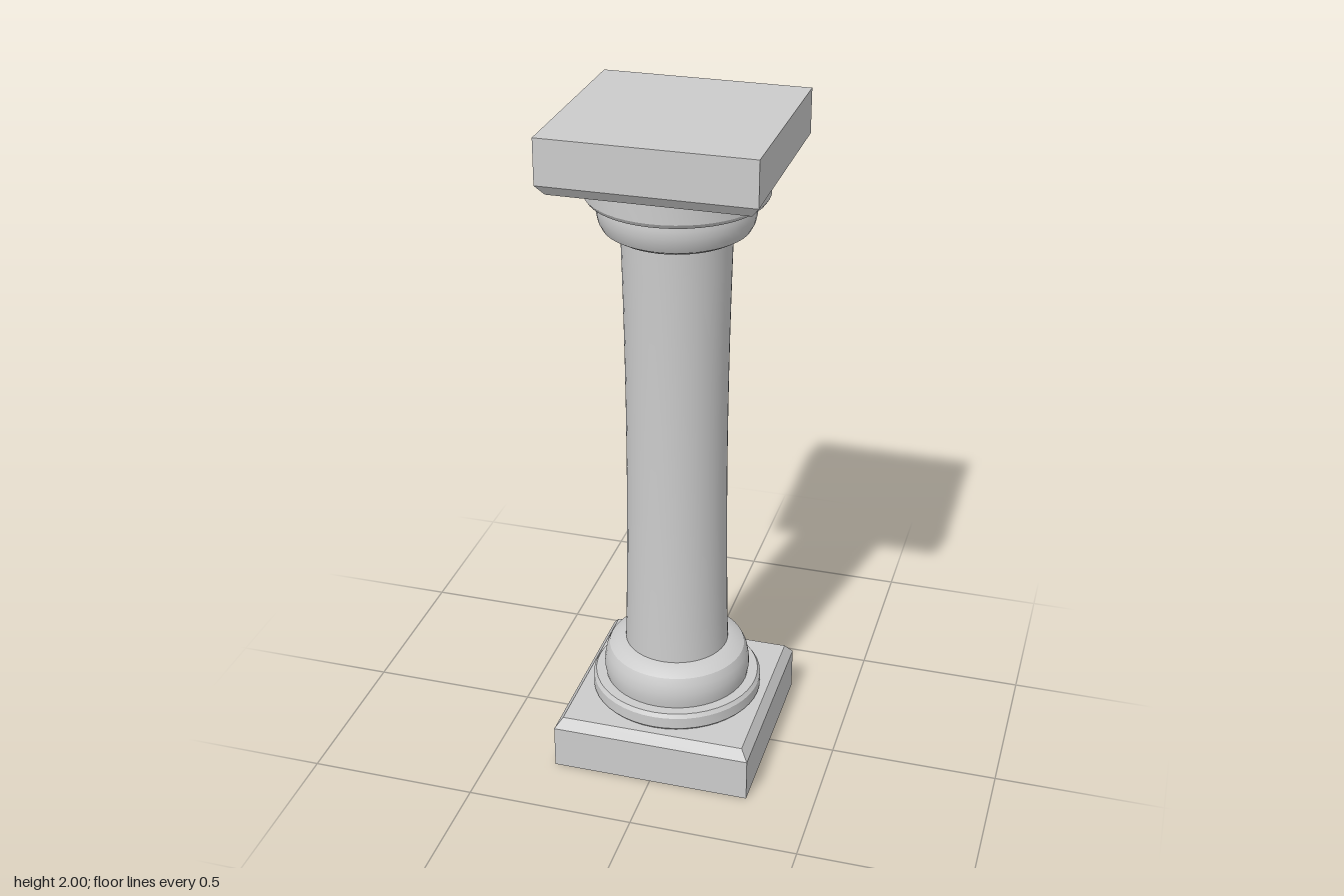
import * as THREE from 'three';
import { toCreasedNormals } from 'three/addons/utils/BufferGeometryUtils.js';

const stone = new THREE.MeshStandardMaterial({ color: 0xcccccc });
const SIDES = 48;

// Profiles are [radius, height] pairs running upwards
const points = (profile) => profile.map(([r, y]) => new THREE.Vector2(r, y));

// Turned part: smooth around, crisp at the moulding edges
function turned(name, profile) {
  const geometry = toCreasedNormals(new THREE.LatheGeometry(points(profile), SIDES), 0.55);
  const mesh = new THREE.Mesh(geometry, stone);
  mesh.name = name;
  return mesh;
}

// Square slab: a four-sided lathe turned by 45 degrees
function slab(name, profile) {
  const corners = profile.map(([half, y]) => [half * Math.SQRT2, y]);
  const lathe = new THREE.LatheGeometry(points(corners), 4, Math.PI / 4);
  const mesh = new THREE.Mesh(toCreasedNormals(lathe, 0.1), stone);
  mesh.name = name;
  return mesh;
}

// Turn a base profile upside down for the capital
const flip = (profile) => profile.map(([r, y]) => [r, 2 - y]).reverse();

// Chamfered square plinth
const plinth = (edge, top) => [[0, 0], [0.3, 0], [0.3, edge], [0.278, top], [0, top]];

// Thin round band with a small bevel
const band = (bottom, top) => [
  [0, bottom], [0.25, bottom], [0.257, bottom + 0.008],
  [0.257, top - 0.012], [0.249, top], [0, top],
];

// Rounded cushion narrowing to the shaft
function cushion(bottom, top) {
  const h = top - bottom;
  return [
    [0, bottom], [0.218, bottom], [0.222, bottom + h * 0.2], [0.221, bottom + h * 0.4],
    [0.216, bottom + h * 0.62], [0.206, bottom + h * 0.8],
    [0.184, bottom + h * 0.92], [0.154, top], [0, top],
  ];
}

export function createModel() {
  const column = new THREE.Group();
  column.name = 'column';

  // Base
  const base = new THREE.Group();
  base.name = 'base';
  base.add(
    slab('basePlinth', plinth(0.133, 0.164)),
    turned('baseBand', band(0.164, 0.219)),
    turned('baseCushion', cushion(0.219, 0.34)),
  );

  // Shaft, slightly waisted at mid height
  const shaftProfile = [];
  for (let i = 0; i <= 12; i++) {
    const t = i / 6 - 1;
    shaftProfile.push([0.147 + 0.009 * t * t, 1 + 0.665 * t]);
  }

  // Capital
  const capital = new THREE.Group();
  capital.name = 'capital';
  capital.add(
    turned('capitalCushion', flip(cushion(0.232, 0.34))),
    turned('capitalBand', flip(band(0.16, 0.232))),
    slab('capitalSlab', flip(plinth(0.13, 0.16))),
  );

  column.add(base, turned('shaft', shaftProfile), capital);
  return column;
}
